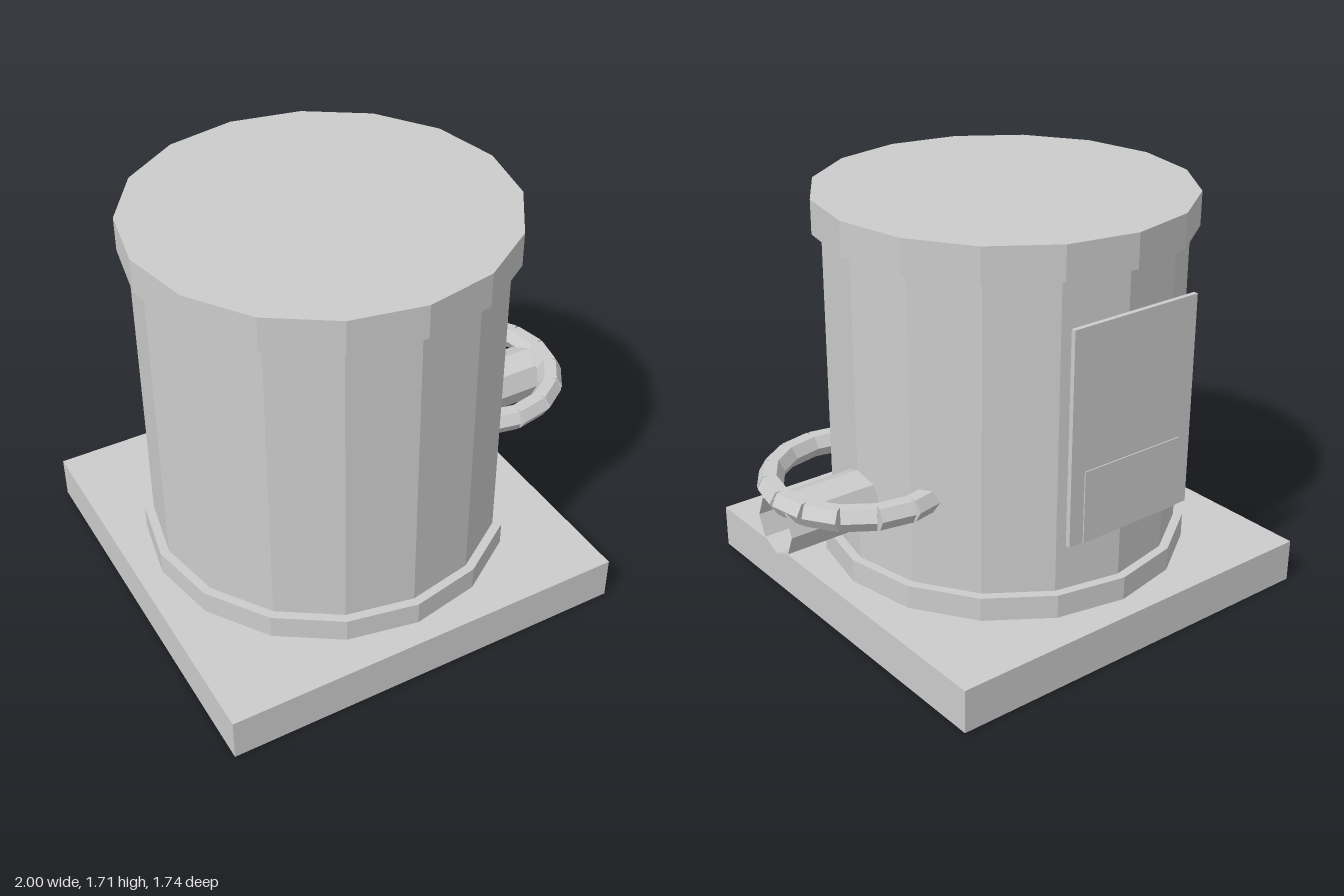
import * as THREE from 'three';

const CX = -0.127; // drum and base share this axis

export function createModel() {
  const group = new THREE.Group();
  const grey = new THREE.MeshStandardMaterial({ color: 0xcccccc, flatShading: true });
  grey.name = 'grey';
  const openGrey = grey.clone(); // same grey, for the open pipe
  openGrey.name = 'grey two-sided';
  openGrey.side = THREE.DoubleSide;

  const add = (name, geometry, x, y, z, material = grey) => {
    const mesh = new THREE.Mesh(geometry, material);
    mesh.name = name;
    mesh.position.set(x, y, z);
    group.add(mesh);
    return mesh;
  };
  const box = (name, x0, x1, y0, y1, z0, z1) =>
    add(name, new THREE.BoxGeometry(x1 - x0, y1 - y0, z1 - z0),
      (x0 + x1) / 2, (y0 + y1) / 2, (z0 + z1) / 2);
  const drum = (name, r, y0, y1) =>
    add(name, new THREE.CylinderGeometry(r, r, y1 - y0, 16), CX, (y0 + y1) / 2, 0);

  // Square base and 16-sided body with its two rims
  box('base', -1, 0.745, 0, 0.185, -0.872, 0.872);
  drum('lowerRim', 0.771, 0.185, 0.285);
  drum('body', 0.733, 0.285, 1.57);
  drum('lid', 0.771, 1.57, 1.71);

  // Back door and its thin lower panel
  box('door', -0.435, 0.175, 0.53, 1.41, -0.777, -0.757);
  box('doorPanel', -0.37, 0.115, 0.535, 0.835, -0.789, -0.784);

  // Open octagonal spout on the left side
  const spout = new THREE.CylinderGeometry(0.12, 0.12, 0.437, 8, 1, true).rotateZ(Math.PI / 2);
  add('spout', spout, 0.7685, 0.56, 0, openGrey);

  // Handle ring of short straight hexagonal links, ends sunk in the body
  const handle = new THREE.Group();
  handle.name = 'handle';
  handle.position.set(0.6, 0.655, 0);
  const R = 0.35, step = Math.PI / 8;
  const link = new THREE.CylinderGeometry(0.052, 0.052, 2 * R * Math.sin(step / 2), 6)
    .rotateY(Math.PI / 2).rotateX(Math.PI / 2)
    .translate(R * Math.cos(step / 2), 0, 0);
  for (let i = -5; i < 5; i++) {
    const mesh = new THREE.Mesh(link, grey);
    mesh.name = 'handleLink';
    mesh.rotation.y = (i + 0.5) * step;
    handle.add(mesh);
  }
  group.add(handle);
  return group;
}
